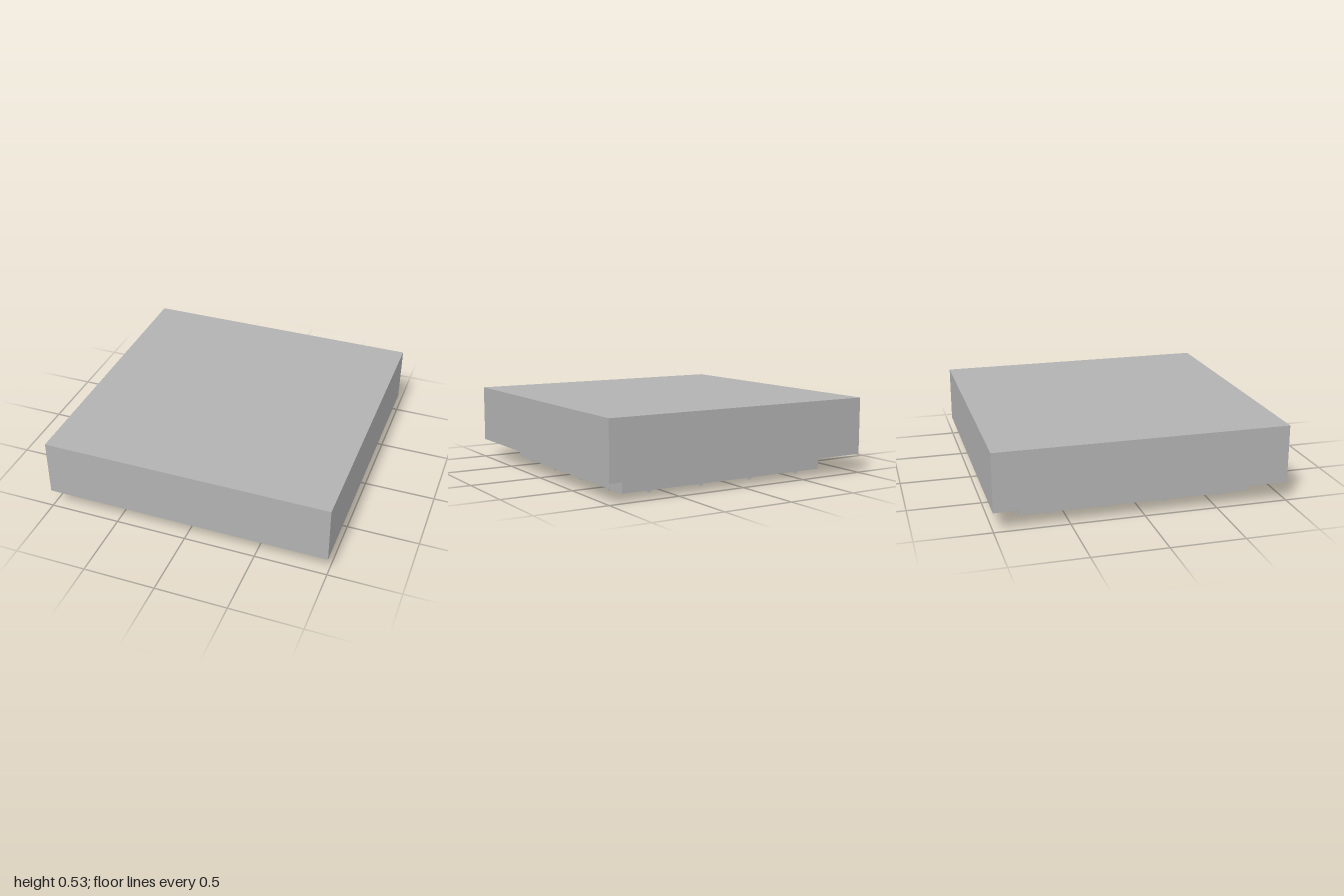
import * as THREE from 'three';

const PLATE = 1.6;      // plate side length
const PITCH = 0.2;      // coffer spacing
const COUNT = 6;        // coffers per side
const centres = Array.from({ length: COUNT }, (_, i) => (i - (COUNT - 1) / 2) * PITCH);

function squarePoints(x, y, half) {
  return [[-1, -1], [1, -1], [1, 1], [-1, 1]].map(([u, v]) => new THREE.Vector2(x + u * half, y + v * half));
}

// Square slab pierced by a grid of square openings
function piercedLayer(half, bottom, top) {
  const shape = new THREE.Shape(squarePoints(0, 0, PLATE / 2));
  for (const x of centres) for (const y of centres) {
    shape.holes.push(new THREE.Path(squarePoints(x, y, half).reverse()));
  }
  const geometry = new THREE.ExtrudeGeometry(shape, { depth: top - bottom, bevelEnabled: false });
  return geometry.rotateX(-Math.PI / 2).translate(0, bottom, 0);
}

function box(w, bottom, top, d) {
  return new THREE.BoxGeometry(w, top - bottom, d).translate(0, (top + bottom) / 2, 0);
}

export function createModel() {
  const model = new THREE.Group();
  model.name = 'cofferedCeiling';
  const plaster = new THREE.MeshStandardMaterial({ color: 0xb2b2b2 });
  plaster.name = 'plaster grey';

  const add = (name, geometry, parent = model) => {
    const mesh = new THREE.Mesh(geometry, plaster);
    mesh.name = name;
    parent.add(mesh);
    return mesh;
  };

  // Upper slab, floating above the coffered panel
  add('upperSlab', box(2, 0.133, 0.533, 2));

  // Panel: two pierced layers make the stepped coffers, a solid layer closes them
  const panel = new THREE.Group();
  panel.name = 'cofferedPanel';
  model.add(panel);
  add('outerCofferStep', piercedLayer(0.07, 0.013, 0.035), panel);
  add('innerCofferStep', piercedLayer(0.045, 0.035, 0.057), panel);
  add('panelBacking', box(PLATE, 0.057, 0.1, PLATE), panel);

  // Thin ribs crossing the underside both ways
  const ribs = new THREE.Group();
  ribs.name = 'ribs';
  model.add(ribs);
  for (const p of [-0.6, -0.2, 0.2, 0.6]) {
    add('ribAcross', box(PLATE, 0, 0.013, 0.026), ribs).position.z = p;
    add('ribAlong', box(0.026, 0, 0.013, PLATE), ribs).position.x = p;
  }

  // Round boss in the middle of each coffer
  const bosses = new THREE.Group();
  bosses.name = 'bosses';
  model.add(bosses);
  const ball = new THREE.SphereGeometry(0.022, 16, 12);
  for (const x of centres) for (const z of centres) {
    add('boss', ball, bosses).position.set(x, 0.045, z);
  }
  return model;
}
